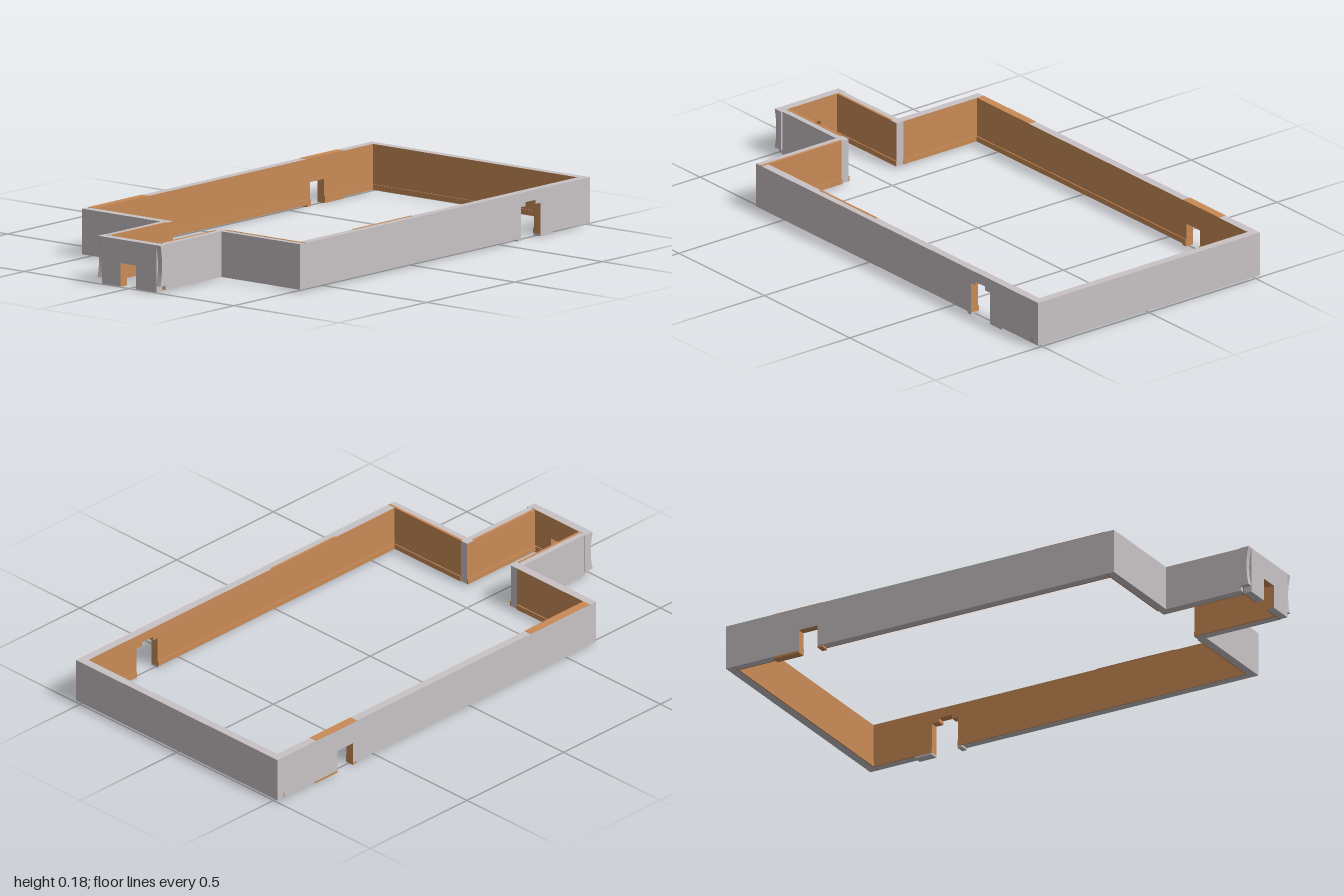
import * as THREE from 'three';

const H = 0.178, BASE = 0.008, T = 0.032;
const plaster = new THREE.MeshStandardMaterial({ color: 0xc8c2c4 });
plaster.name = 'grey plaster';
const clay = new THREE.MeshStandardMaterial({ color: 0xc98a55 });
clay.name = 'orange clay';

function box(parent, name, mat, x0, x1, y0, y1, z0, z1) {
  const m = new THREE.Mesh(new THREE.BoxGeometry(x1 - x0, y1 - y0, z1 - z0), mat);
  m.position.set((x0 + x1) / 2, (y0 + y1) / 2, (z0 + z1) / 2);
  m.name = name;
  parent.add(m);
}

// Inner face and door reveals are clay, everything else is plaster
function paintWall(geo, u0, u1, y0) {
  const p = geo.attributes.position, e = 1e-4;
  geo.clearGroups();
  for (let i = 0; i < p.count; i += 3) {
    const mid = (f) => (f(i) + f(i + 1) + f(i + 2)) / 3;
    const x = mid((k) => p.getX(k)), y = mid((k) => p.getY(k)), z = mid((k) => p.getZ(k));
    const reveal = z < T - e && x > u0 + e && x < u1 - e && y > y0 + e && y < H - e;
    geo.addGroup(i, 3, z < e || reveal ? 1 : 0);
  }
}

// A wall runs from u0 to u1; its inner face lies at dist along the outward direction
function wall(parent, name, turn, dist, u0, u1, door = [], y0 = BASE) {
  const g = new THREE.Group();
  g.name = name;
  g.rotation.y = turn;
  const pts = [[u0, y0], ...door, [u1, y0], [u1, H], [u0, H]];
  const shape = new THREE.Shape(pts.map(([x, y]) => new THREE.Vector2(x, y)));
  const geo = new THREE.ExtrudeGeometry(shape, { depth: T, bevelEnabled: false });
  paintWall(geo, u0, u1, y0);
  const mesh = new THREE.Mesh(geo, [plaster, clay]);
  mesh.name = name + 'Panel';
  mesh.position.z = dist;
  g.add(mesh);
  // skirting, broken at the doorway
  const spans = door.length
    ? [[u0, door[0][0]], [door[door.length - 1][0], u1]]
    : [[u0, u1]];
  for (const [a, b] of spans) box(g, 'skirting', clay, a, b, y0, 0.028, dist - 0.004, dist);
  parent.add(g);
  return g;
}

const doorway = (a, b, top, y0 = BASE) => [[a, y0], [a, top], [b, top], [b, y0]];

export function createModel() {
  const model = new THREE.Group();
  model.name = 'walledEnclosure';
  const Q = Math.PI / 2;

  // Main rectangle
  wall(model, 'backWall', Math.PI, 1 - T, -0.52, 0.52);
  wall(model, 'rightWall', -Q, 0.52 - T, T - 1, 0.615, doorway(-0.69, -0.61, 0.09));
  wall(model, 'leftWall', Q, 0.52 - T, -0.615, 1 - T, [
    [0.61, BASE], [0.61, 0.125], [0.635, 0.125], [0.635, 0.14],
    [0.69, 0.14], [0.69, 0.125], [0.72, 0.125], [0.72, BASE],
  ]);
  wall(model, 'frontRightWall', 0, 0.647 - T, -0.52, -0.145);
  wall(model, 'frontLeftWall', 0, 0.647 - T, 0.145, 0.52);

  // Entrance passage
  wall(model, 'passageRightWall', -Q, 0.145 - T, 0.615, 0.965);
  wall(model, 'passageLeftWall', Q, 0.145 - T, -0.965, -0.615);
  wall(model, 'entranceWall', 0, 1 - T, -0.13, 0.13, doorway(-0.04, 0.033, 0.09, 0.002), 0.002);

  // Hollow-fronted pilasters beside the entrance
  const profile = new THREE.Shape();
  profile.moveTo(0.962, 0.025);
  profile.lineTo(1, 0.025);
  profile.quadraticCurveTo(0.982, 0.1, 1, H);
  profile.lineTo(0.962, H);
  for (const x of [-0.13, 0.15]) {
    const geo = new THREE.ExtrudeGeometry(profile, { depth: 0.02, bevelEnabled: false, curveSegments: 8 });
    const m = new THREE.Mesh(geo, plaster);
    m.rotation.y = -Q;
    m.position.x = x;
    m.name = 'entrancePilaster';
    model.add(m);
  }

  // Feet beside the side doorways
  for (const [z0, z1] of [[-0.8, -0.69], [-0.61, -0.59]])
    box(model, 'rightDoorFoot', clay, -0.52, -0.486, 0, BASE, z0, z1);
  for (const [z0, z1] of [[-0.79, -0.72], [-0.61, -0.59]])
    box(model, 'leftDoorFoot', plaster, 0.486, 0.52, 0, BASE, z0, z1);

  // Clay patches on the wall tops: x0, x1, z0, z1
  const patches = [
    [-0.52, -0.488, -0.8, -0.59], [-0.52, -0.488, 0.31, 0.615],
    [0.486, 0.495, -0.02, 0.31], [0.113, 0.122, 0.65, 0.96],
    [0.145, 0.52, 0.614, 0.624], [-0.122, -0.113, 0.65, 0.96],
  ];
  for (const [x0, x1, z0, z1] of patches)
    box(model, 'topPatch', clay, x0, x1, H - 0.001, H + 0.001, z0, z1);

  return model;
}
